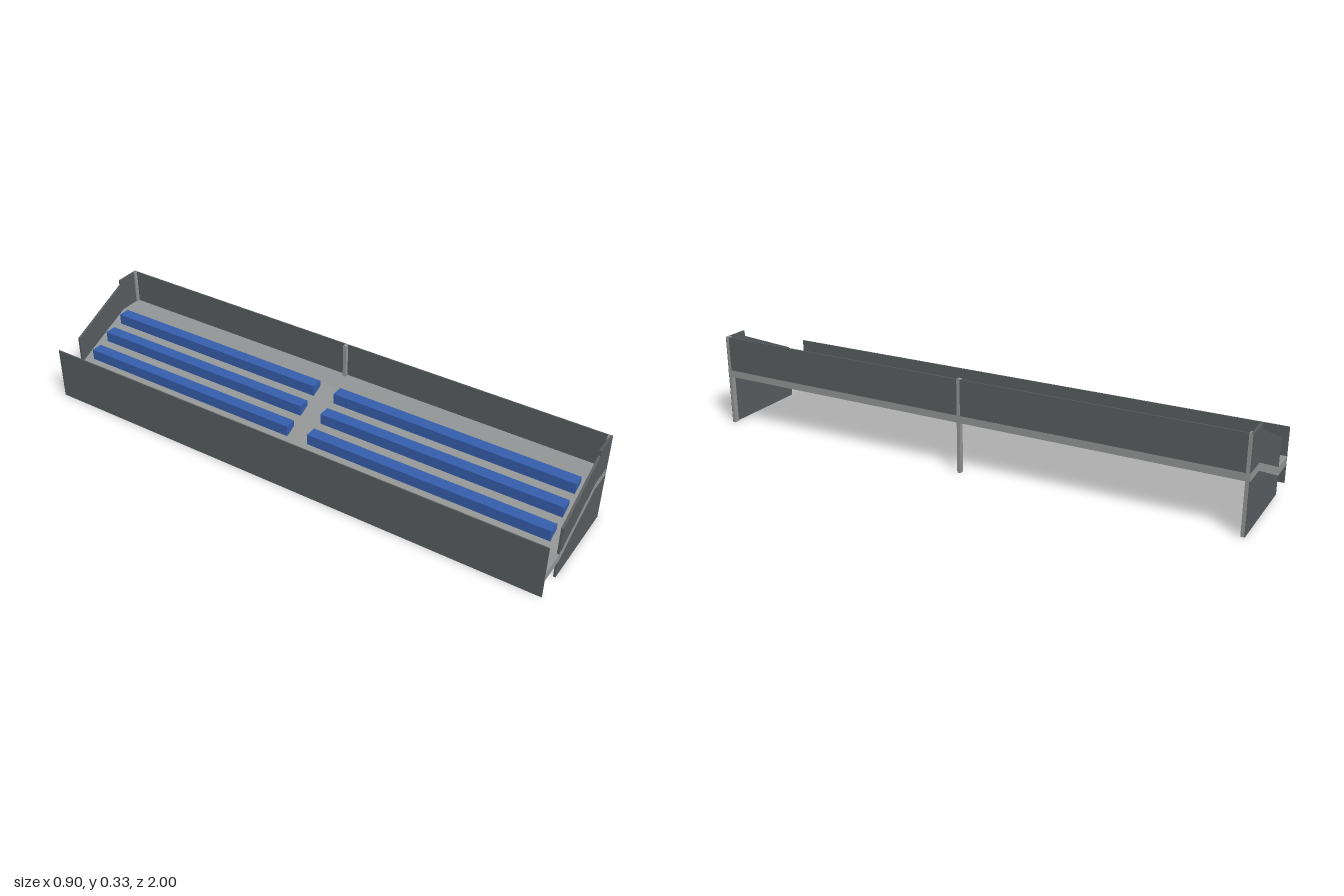
import * as THREE from 'three';

const HALF_W = 0.222;   // half depth of the stand
const HALF_L = 0.9735;  // half length of the stand

const material = (name, color) => {
  const m = new THREE.MeshStandardMaterial({ color });
  m.name = name;
  return m;
};

export function createModel() {
  const wall = material('dark grey panel', 0x5a5e60);
  const concrete = material('light grey concrete', 0x949797);
  const seat = material('blue seat', 0x365fae);

  const stand = new THREE.Group();
  stand.name = 'grandstand';

  const add = (name, geometry, mat, x = 0, y = 0, z = 0) => {
    const mesh = new THREE.Mesh(geometry, mat);
    mesh.name = name;
    mesh.position.set(x, y, z);
    stand.add(mesh);
  };
  // box given by its limits in each axis
  const box = (name, mat, [x0, x1], [y0, y1], [z0, z1]) =>
    add(name, new THREE.BoxGeometry(x1 - x0, y1 - y0, z1 - z0), mat,
      (x0 + x1) / 2, (y0 + y1) / 2, (z0 + z1) / 2);
  // cross-section swept along the length
  const sweep = (points, depth) => new THREE.ExtrudeGeometry(
    new THREE.Shape(points.map(([x, y]) => new THREE.Vector2(x, y))),
    { depth, bevelEnabled: false });

  // deck: low walkway, sloped terrace, high walkway
  const deckLength = 2 * HALF_L + 0.001;
  add('deck', sweep([
    [-HALF_W + 0.001, 0.065], [-0.119, 0.065], [0.1285, 0.179], [HALF_W, 0.179],
    [HALF_W, 0.205], [0.1285, 0.205], [-0.119, 0.095], [-HALF_W + 0.001, 0.095],
  ], deckLength), concrete, 0, 0, -deckLength / 2);

  // long walls along the low and high sides
  box('lowWall', wall, [-HALF_W, -HALF_W + 0.004], [0, 0.197], [-HALF_L, HALF_L]);
  box('highWall', wall, [HALF_W - 0.004, HALF_W], [0.204, 0.33], [-HALF_L, HALF_L]);

  // stepped end panels
  const panel = sweep([
    [-0.119, 0], [HALF_W, 0], [HALF_W, 0.33], [0.1285, 0.33], [0.1285, 0.31], [-0.119, 0.197],
  ], 0.008);
  add('frontEndPanel', panel, wall, 0, 0, HALF_L - 0.008);
  add('backEndPanel', panel, wall, 0, 0, -HALF_L);

  // posts under and behind the high wall
  for (const z of [-0.966, 0, 0.966]) {
    box('post', concrete, [0.205, HALF_W + 0.0006], [0, 0.33], [z - 0.006, z + 0.006]);
  }

  // three rows of benches, split by a central aisle
  for (const side of [-1, 1]) {
    for (let row = 0; row < 3; row++) {
      add('bench', new THREE.BoxGeometry(0.043, 0.04, 0.89), seat,
        -0.072 + row * 0.0825, 0.127 + row * 0.0365, side * 0.486);
    }
  }

  stand.rotation.y = THREE.MathUtils.degToRad(14);
  const model = new THREE.Group();
  model.name = 'model';
  model.add(stand);
  return model;
}
